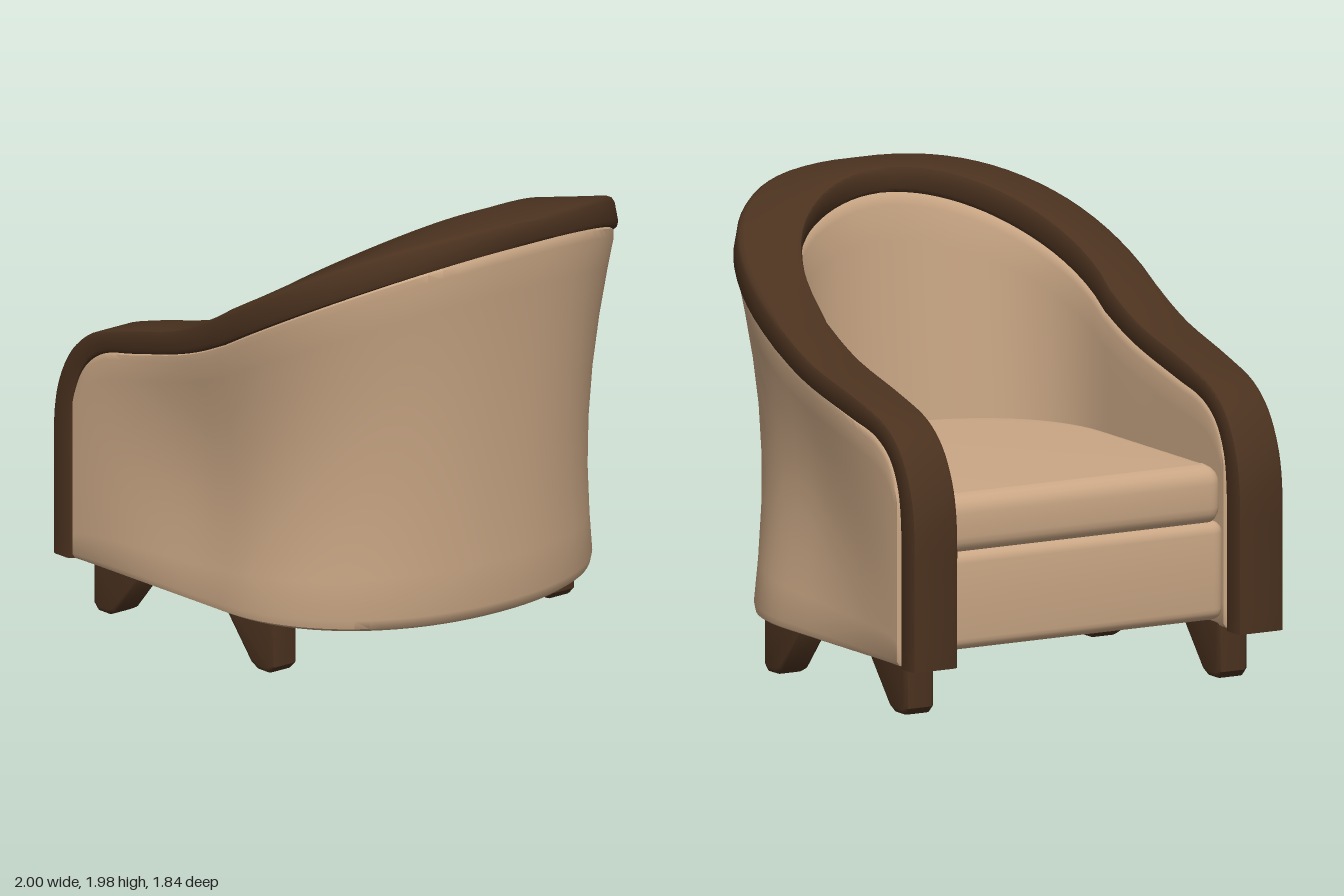
import * as THREE from 'three';
import { toCreasedNormals } from 'three/addons/utils/BufferGeometryUtils.js';

const fabric = new THREE.MeshStandardMaterial({ color: 0xcaa785 });
fabric.name = 'beige fabric';
const wood = new THREE.MeshStandardMaterial({ color: 0x4b321f });
wood.name = 'dark wood';

function addMesh(parent, name, geometry, material, crease = 0.75) {
  const mesh = new THREE.Mesh(toCreasedNormals(geometry, crease), material);
  mesh.name = name;
  parent.add(mesh);
  return mesh;
}

// Skin a row of closed rings and cap both ends
function loft(rings) {
  const n = rings[0].length, pos = [], index = [];
  rings.forEach(r => r.forEach(p => pos.push(p.x, p.y, p.z)));
  for (let i = 0; i < rings.length - 1; i++) {
    for (let j = 0; j < n; j++) {
      const a = i * n + j, b = i * n + (j + 1) % n;
      index.push(a, a + n, b, b, a + n, b + n);
    }
  }
  [0, rings.length - 1].forEach((i, end) => {
    const c = new THREE.Vector3();
    rings[i].forEach(p => c.addScaledVector(p, 1 / n));
    const centre = pos.length / 3;
    pos.push(c.x, c.y, c.z);
    for (let j = 0; j < n; j++) {
      const a = i * n + j, b = i * n + (j + 1) % n;
      if (end) index.push(centre, b, a);
      else index.push(centre, a, b);
    }
  });
  const g = new THREE.BufferGeometry();
  g.setAttribute('position', new THREE.Float32BufferAttribute(pos, 3));
  g.setIndex(index);
  return g;
}

// U-shaped plan: w runs from the outer face (0) to the inner face (1)
function plan(s, x, y, w, { outerBack, innerBack, outerWidth, power }) {
  const inner = s.th - 0.08 * Math.sin(2 * s.th);
  const ox = outerBack * Math.max(0, Math.cos(s.th)) ** power;
  const oz = outerWidth * Math.sin(s.th) ** power;
  const ix = innerBack * Math.max(0, Math.cos(inner)) ** 0.91;
  const iz = 0.68 * Math.sin(inner) ** 0.91;
  return new THREE.Vector3(x + ox + (ix - ox) * w, y, s.side * (oz + (iz - oz) * w));
}

// Arm profile from the floor end of the post up to the back, then round the back
function makePath() {
  const curve = pts => new THREE.CatmullRomCurve3(pts.map(([x, y]) => new THREE.Vector3(x, y, 0)));
  const low = curve([[-0.88, 0.22], [-0.88, 0.55], [-0.878, 0.82], [-0.855, 0.97], [-0.79, 1.09],
    [-0.68, 1.165], [-0.5, 1.21], [-0.2, 1.285], [-0.05, 1.335], [0.1, 1.4]]).getPoints(36);
  const high = curve([[-1, 0.22], [-1, 0.55], [-0.995, 0.85], [-0.96, 1.0], [-0.88, 1.14],
    [-0.76, 1.235], [-0.55, 1.305], [-0.22, 1.39], [-0.08, 1.445], [0.05, 1.51]]).getPoints(36);
  // mid grows from 0 at the front post to 1 along the arm; drop lowers the inner rail edge
  const half = low.map((p, i) => ({ th: Math.PI / 2, side: 1, lx: p.x, ly: p.y, ux: high[i].x,
    uy: high[i].y, drop: 0, mid: THREE.MathUtils.smoothstep(p.x, -0.87, -0.05) }));
  const steps = 20;
  for (let i = 1; i <= steps; i++) {
    const th = (Math.PI / 2) * (1 - i / steps), bend = Math.sin(2 * th);
    const ly = 1.4 + 0.465 * Math.max(0, Math.cos(th)) ** (2 / 2.4);
    half.push({ th, side: 1, lx: 0.1, ly, ux: 0.1 - 0.05 * Math.sin(th), uy: ly + 0.115 + 0.015 * bend,
      drop: 0.015 * bend, mid: 1 });
  }
  return half;
}
const mirrorPath = half => [...half, ...half.slice(0, -1).reverse().map(s => ({ ...s, side: -1 }))];

// Wooden rail with eased edges
function railGeometry(half) {
  const section = [[0.1, 0], [0.03, 0.06], [0, 0.2], [0, 0.8], [0.03, 0.94], [0.1, 1],
    [0.9, 1], [0.97, 0.94], [1, 0.8], [1, 0.2], [0.97, 0.06], [0.9, 0]];
  return loft(mirrorPath(half).map(s => section.map(([w, t]) =>
    plan(s, s.lx + (s.ux - s.lx) * t, s.ly + (s.uy - s.ly) * t - s.drop * w, w,
      { outerBack: 0.895, innerBack: 0.635, outerWidth: 0.9 + 0.018 * s.mid, power: 2 / 2.4 }))));
}

// Upholstered wall: waisted at mid height, flaring towards the rail, soft front edge
function shellGeometry(half) {
  const heights = [0.035, 0.15, 0.3, 0.45, 0.6, 0.75, 0.88, 0.97];
  const section = [[0.18, 0], [0.07, 0.01], ...heights.map(f => [0.02, f]), [0.05, 0.995], [0.14, 1.01],
    [0.86, 1.01], [0.95, 0.995], ...heights.slice().reverse().map(f => [0.98, f]), [0.93, 0.01], [0.82, 0]];
  const frontEdge = { ...half[9], tuck: 0.85 };
  return loft(mirrorPath([frontEdge, ...half.slice(11)]).map(s => section.map(([w, f]) => {
    const waist = 0.08 * s.mid * Math.sin(Math.PI * Math.min(f, 1));
    return plan(s, s.lx, 0.22 + (s.ly - 0.22 - s.drop * w) * f, 0.5 + (w - 0.5) * (s.tuck ?? 1),
      { outerBack: 0.75 + 0.14 * f ** 1.8, innerBack: 0.535 + 0.1 * f,
        outerWidth: 0.905 - waist, power: 0.95 - 0.117 * f });
  })));
}

// D-shaped slab for the seat, rounded on every edge
function seatGeometry(back, halfWidth, y0, y1, round, power) {
  const front = -0.87, r = 0.06, shape = new THREE.Shape();
  shape.moveTo(front, -halfWidth + r);
  shape.quadraticCurveTo(front, -halfWidth, front + r, -halfWidth);
  for (let i = 0; i <= 32; i++) {
    const a = -Math.PI / 2 + (Math.PI * i) / 32;
    const c = Math.max(0, Math.cos(a)), s = Math.sin(a);
    shape.lineTo(0.02 + (back - 0.02) * c ** power, halfWidth * Math.sign(s) * Math.abs(s) ** power);
  }
  shape.lineTo(front + r, halfWidth);
  shape.quadraticCurveTo(front, halfWidth, front, halfWidth - r);
  shape.closePath();
  const g = new THREE.ExtrudeGeometry(shape, { depth: y1 - y0 - 2 * round, bevelThickness: round,
    bevelSize: round, bevelOffset: -round, bevelSegments: 5, curveSegments: 6 });
  return g.rotateX(-Math.PI / 2).translate(0, y0 + round, 0);
}

// Wedge foot with one upright edge and one sloping edge
function footGeometry(dir) {
  const pts = [[0, 0.26], [0, 0.03], [0.03, 0], [0.1, 0], [0.14, 0.02], [0.31, 0.22], [0.31, 0.26]];
  const shape = new THREE.Shape(pts.map(([x, y]) => new THREE.Vector2(x * dir, y)));
  return new THREE.ExtrudeGeometry(shape, { depth: 0.1, bevelThickness: 0.02, bevelSize: 0.02,
    bevelOffset: -0.02, bevelSegments: 3 }).translate(0, 0, -0.05);
}

export function createModel() {
  const group = new THREE.Group();
  group.name = 'armchair';
  const half = makePath();
  addMesh(group, 'upholsteredShell', shellGeometry(half), fabric);
  addMesh(group, 'woodenRail', railGeometry(half), wood);
  addMesh(group, 'seatBase', seatGeometry(0.68, 0.695, 0.26, 0.68, 0.05, 0.87), fabric);
  addMesh(group, 'seatCushion', seatGeometry(0.665, 0.68, 0.66, 0.92, 0.08, 0.95), fabric);

  // Feet: front and rear pairs slope towards each other
  for (const z of [0.76, -0.76]) {
    const side = z > 0 ? 'PlusZ' : 'MinusZ';
    addMesh(group, 'frontFoot' + side, footGeometry(1), wood).position.set(-0.82, 0, z);
    addMesh(group, 'rearFoot' + side, footGeometry(-1), wood).position.set(0.33, 0, z);
  }
  return group;
}
